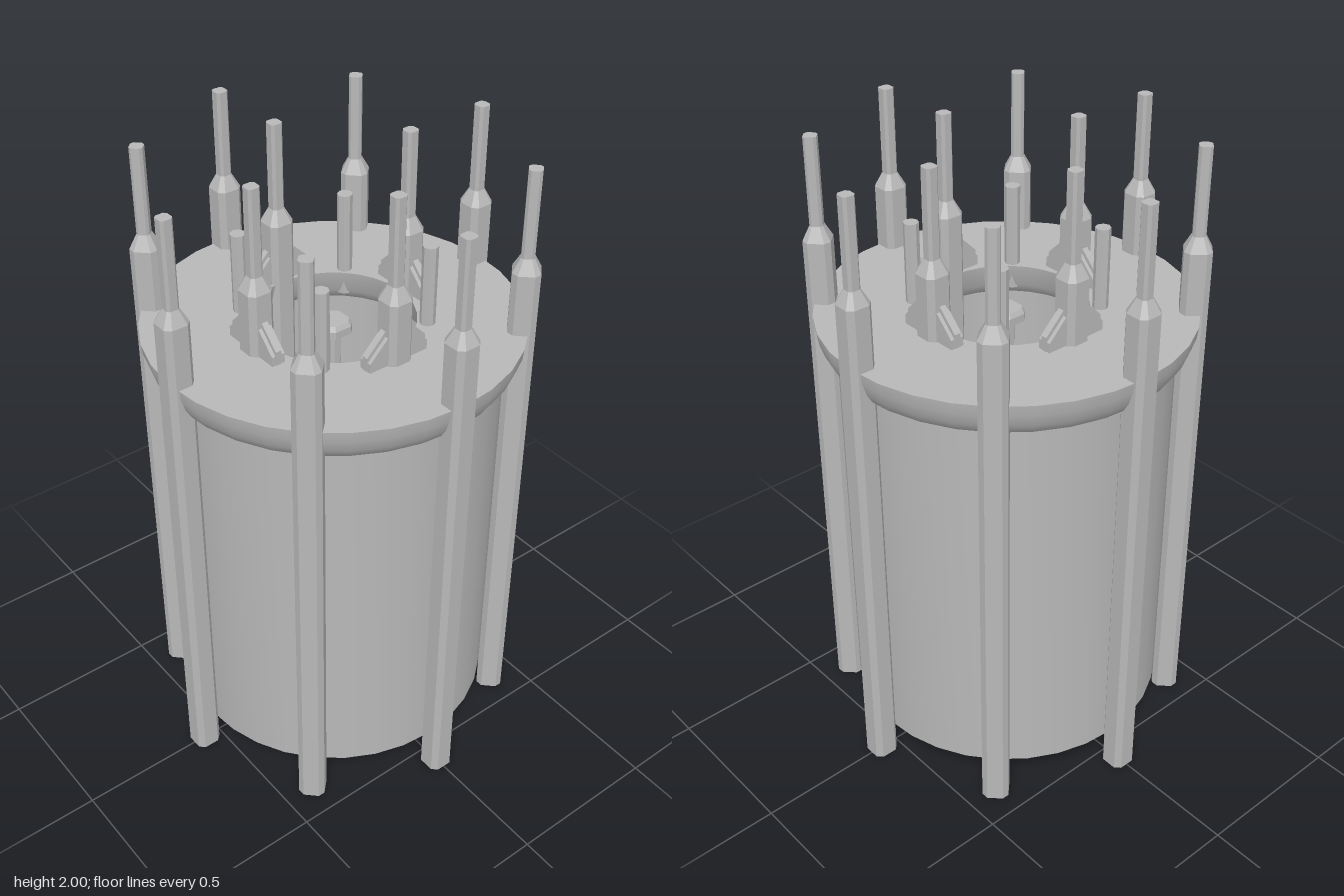
import * as THREE from 'three';
import { toCreasedNormals } from 'three/addons/utils/BufferGeometryUtils.js';

// Lofts a chamfered square along y; levels are [y, halfWidth] from bottom to top.
function loftRod(levels) {
  const ring = ([y, h]) => {
    const c = h * 0.6;
    return [[h, c], [c, h], [-c, h], [-h, c], [-h, -c], [-c, -h], [c, -h], [h, -c]]
      .map(([x, z]) => [x, y, z]);
  };
  const rings = levels.map(ring);
  const pos = [];
  const tri = (a, b, c) => pos.push(...a, ...b, ...c);
  for (let i = 0; i < rings.length - 1; i++) {
    const lo = rings[i], hi = rings[i + 1];
    for (let j = 0; j < 8; j++) {
      const k = (j + 1) % 8;
      tri(lo[j], hi[j], hi[k]);
      tri(lo[j], hi[k], lo[k]);
    }
  }
  const bottom = rings[0], top = rings[rings.length - 1];
  for (let j = 1; j < 7; j++) {
    tri(bottom[0], bottom[j], bottom[j + 1]);
    tri(top[0], top[j + 1], top[j]);
  }
  const g = new THREE.BufferGeometry();
  g.setAttribute('position', new THREE.Float32BufferAttribute(pos, 3));
  g.computeVertexNormals();
  return g;
}

// Gabled fin lying across a rod, centred on its thickness.
function finGeometry(halfLength, shoulder, peak, thickness) {
  const flat = halfLength - (peak - shoulder);
  const s = new THREE.Shape([
    new THREE.Vector2(-halfLength, 1.47), new THREE.Vector2(halfLength, 1.47),
    new THREE.Vector2(halfLength, shoulder), new THREE.Vector2(flat, peak),
    new THREE.Vector2(-flat, peak), new THREE.Vector2(-halfLength, shoulder),
  ]);
  return new THREE.ExtrudeGeometry(s, { depth: thickness, bevelEnabled: false })
    .translate(0, 0, -thickness / 2);
}

export function createModel() {
  const model = new THREE.Group();
  model.name = 'rodRingVessel';
  const grey = new THREE.MeshStandardMaterial({ color: 0xb8b8b8 });
  grey.name = 'grey';
  const greyShell = grey.clone();
  greyShell.name = 'greyShell';
  greyShell.side = THREE.DoubleSide;

  const add = (name, geometry, material = grey, parent = model) => {
    const m = new THREE.Mesh(geometry, material);
    m.name = name;
    parent.add(m);
    return m;
  };

  // Open-bottomed double wall with a rounded collar on the outside and in the hole
  const profile = [
    [0.32, 0], [0.32, 1.36], [0.285, 1.375], [0.262, 1.41], [0.25, 1.48],
    [0.58, 1.48], [0.576, 1.445], [0.563, 1.405], [0.545, 1.375], [0.515, 1.36],
    [0.515, 0.09],
  ].map(([r, y]) => new THREE.Vector2(r, y)).reverse();
  add('shell', toCreasedNormals(new THREE.LatheGeometry(profile, 32), 0.6), greyShell);

  // Tall rods that step down to thin pins: eight outside, four around the hole
  const rod = loftRod([[0, 0.042], [1.68, 0.042], [1.725, 0.02], [2, 0.02]]);
  const placeRods = (name, count, radius) => {
    for (let i = 0; i < count; i++) {
      const a = (i / count) * Math.PI * 2;
      const m = add(name, rod);
      m.position.set(Math.sin(a) * radius, 0, Math.cos(a) * radius);
      m.rotation.y = a;
    }
  };
  placeRods('outerRod', 8, 0.557);
  placeRods('innerRod', 4, 0.28);

  // Stepped fins bracing the inner rods
  const thinFin = finGeometry(0.107, 1.525, 1.6, 0.02);
  const wideFin = finGeometry(0.105, 1.51, 1.58, 0.044);
  // Short round pins between the inner rods
  const shortPin = toCreasedNormals(new THREE.CylinderGeometry(0.024, 0.024, 0.34, 8), 0.3)
    .translate(0, 1.57, 0);
  for (let i = 0; i < 4; i++) {
    const a = (i * Math.PI) / 2;
    const brace = new THREE.Group();
    brace.name = 'finBrace';
    brace.position.set(Math.sin(a) * 0.28, 0, Math.cos(a) * 0.28);
    brace.rotation.y = a;
    add('thinFin', thinFin, grey, brace);
    add('wideFin', wideFin, grey, brace);
    model.add(brace);

    const b = a + Math.PI / 4;
    add('shortPin', shortPin).position.set(Math.sin(b) * 0.28, 0, Math.cos(b) * 0.28);
  }

  // Central rod with a narrow neck and a flat cap
  add('centreRod', loftRod([
    [0, 0.042], [1.25, 0.042], [1.3, 0.02], [1.42, 0.02],
    [1.43, 0.048], [1.455, 0.048], [1.47, 0.04],
  ]));

  return model;
}
